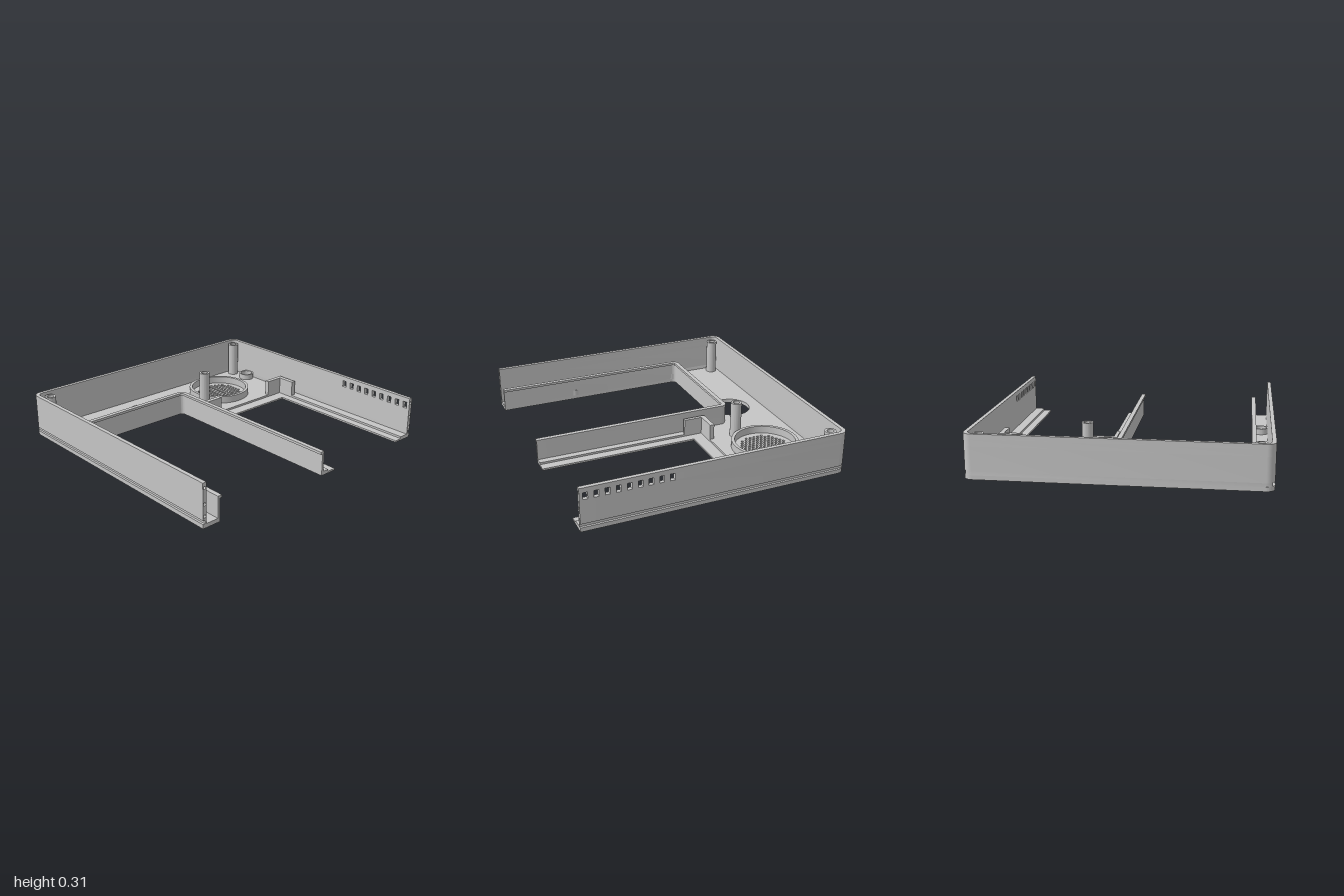
import * as THREE from 'three';
import { toCreasedNormals } from 'three/addons/utils/BufferGeometryUtils.js';

const grey = new THREE.MeshStandardMaterial({ color: 0xc6c6c6 });
grey.name = 'light grey plastic';

// Plan outline from [x, z, cornerRadius] points (plan y is -z)
function outline(points) {
  const shape = new THREE.Shape();
  const n = points.length;
  const v = points.map(([x, z]) => new THREE.Vector2(x, -z));
  points.forEach(([, , r = 0], i) => {
    const p = v[i];
    const toward = (q, d) => p.clone().add(q.clone().sub(p).setLength(d));
    const prev = v[(i + n - 1) % n], next = v[(i + 1) % n];
    const a = r ? toward(prev, r) : p;
    if (i) shape.lineTo(a.x, a.y); else shape.moveTo(a.x, a.y);
    if (r) {
      const c1 = toward(prev, r * 0.448), c2 = toward(next, r * 0.448), b = toward(next, r);
      shape.bezierCurveTo(c1.x, c1.y, c2.x, c2.y, b.x, b.y);
    }
  });
  shape.closePath();
  return shape;
}

const circle = (x, z, r, Kind = THREE.Path) => new Kind().absarc(x, -z, r, 0, Math.PI * 2, false);
const rect = (x0, z0, x1, z1) => outline([[x0, z0], [x1, z0], [x1, z1], [x0, z1]]);

export function createModel() {
  const model = new THREE.Group();
  model.name = 'openTray';

  function add(name, geometry) {
    const mesh = new THREE.Mesh(toCreasedNormals(geometry, 0.6), grey);
    mesh.name = name;
    model.add(mesh);
  }
  // Plan shape raised from y0 to y1
  function slab(name, shape, y0, y1, curveSegments = 12) {
    const g = new THREE.ExtrudeGeometry(shape, { depth: y1 - y0, bevelEnabled: false, curveSegments });
    add(name, g.rotateX(-Math.PI / 2).translate(0, y0, 0));
  }

  const H = 0.306, FLOOR = 0.028, T = 0.028, END = 0.95, WALL_END = 0.93;
  const GROOVE0 = 0.03, GROOVE1 = 0.055, GROOVE_Z = 0.985;
  const OVERHANG = 0.016, BAY_WALL = 0.032;

  // Floor with two open bays, a round opening and a grille
  const floor = outline([
    [-0.95, -1, 0.06], [END, -1], [END, -0.903], [-0.285, -0.903], [-0.285, -0.11], [END, -0.11],
    [END, -0.03 - OVERHANG], [-0.49 - OVERHANG, -0.03 - OVERHANG, 0.03],
    [-0.49 - OVERHANG, 0.85 + OVERHANG, 0.03], [END, 0.85 + OVERHANG], [END, 1], [-0.95, 1, 0.06],
  ]);
  floor.holes.push(circle(-0.68, 0.18, 0.145));
  const pitch = 0.031;
  for (let row = -6; row <= 6; row++) {
    for (let col = -6; col <= 6; col++) {
      const x = (col + (row % 2 ? 0.5 : 0)) * pitch, z = row * pitch * 0.866;
      if (Math.hypot(x, z) < 0.175) floor.holes.push(circle(-0.597 + x, -0.51 + z, 0.01));
    }
  }
  slab('floor', floor, 0, FLOOR, 16);

  // Thin ledge around the back bay
  slab('backBayLedge', outline([
    [END, -0.903], [END, -0.845], [-0.196, -0.845], [-0.196, -0.176], [END, -0.176], [END, -0.11],
    [-0.285, -0.11], [-0.285, -0.903],
  ]), 0, 0.013);

  // Outer wall in layers; backEnd is where the back wall stops
  const wall = (backEnd) => outline([
    [-0.95, -1, 0.06], [backEnd, -1], [backEnd, -1 + T], [-0.95 + T, -1 + T, 0.035],
    [-0.95 + T, 1 - T, 0.035], [WALL_END, 1 - T], [WALL_END, 1], [-0.95, 1, 0.06],
  ]);
  const groovedWall = outline([
    [-0.95, -0.94], [-0.943, -0.968], [-0.93, -GROOVE_Z], [WALL_END, -GROOVE_Z], [WALL_END, -1 + T],
    [-0.95 + T, -1 + T, 0.01], [-0.95 + T, 1 - T, 0.01], [WALL_END, 1 - T],
    [WALL_END, GROOVE_Z], [-0.93, GROOVE_Z], [-0.943, 0.968], [-0.95, 0.94],
  ]);
  const slots = 9, slotPitch = 0.0715, slotWidth = 0.032, slot0 = 0.323, low = 0.225, high = 0.272;
  slab('wallFoot', wall(WALL_END), FLOOR, GROOVE0);
  slab('wallGroove', groovedWall, GROOVE0, GROOVE1);
  slab('wallMain', wall(WALL_END), GROOVE1, low);
  slab('wallSlotBand', wall(slot0), low, high);
  slab('wallRim', wall(WALL_END), high, H);
  // Bars between the vent slots
  for (let i = 0; i < slots; i++) {
    const x = slot0 + slotWidth + i * slotPitch;
    slab('slotBar', rect(x, -1, Math.min(x + slotPitch - slotWidth, WALL_END), -1 + T), low, high);
  }

  // Wall ends with the groove and three small pin holes
  for (const s of [-1, 1]) {
    // drawn as (-z, y), then turned to run along x
    const profile = new THREE.Shape([
      [1 - T, FLOOR], [1, FLOOR], [1, GROOVE0], [GROOVE_Z, GROOVE0], [GROOVE_Z, GROOVE1],
      [1, GROOVE1], [1, H], [1 - T, H],
    ].map(([z, y]) => new THREE.Vector2(-s * z, y)));
    for (const y of [0.08, 0.162, 0.27]) {
      profile.holes.push(new THREE.Path().absarc(-s * 0.986, y, 0.01, 0, Math.PI * 2, false));
    }
    const g = new THREE.ExtrudeGeometry(profile, { depth: END - WALL_END, bevelEnabled: false });
    add('wallEnd', g.rotateY(Math.PI / 2).translate(WALL_END, 0, 0));
  }

  // Wall around the front bay, between two offsets, with a lip over the opening
  const bayWall = (a, b) => outline([
    [END, -0.03 - a], [-0.49 - a, -0.03 - a, 0.014 + a], [-0.49 - a, 0.85 + a, 0.014 + a], [END, 0.85 + a],
    [END, 0.85 + b], [-0.49 - b, 0.85 + b, 0.014 + b], [-0.49 - b, -0.03 - b, 0.014 + b], [END, -0.03 - b],
  ]);
  slab('frontBayWall', bayWall(OVERHANG, BAY_WALL), FLOOR, 0.16);
  slab('frontBayLip', bayWall(0, BAY_WALL), 0.16, 0.178);

  // Corner brackets of the back bay
  slab('backBracket', outline([
    [-0.318, -0.938], [-0.15, -0.938], [-0.15, -0.903], [-0.285, -0.903], [-0.285, -0.77], [-0.318, -0.77],
  ]), 0.013, 0.142);
  slab('middleBracket', outline([
    [-0.318, -0.255], [-0.285, -0.255], [-0.285, -0.11], [-0.15, -0.11], [-0.15, -0.085], [-0.318, -0.085],
  ]), 0.013, 0.142);

  // Hollow round parts: grille collar, screw posts, foot bosses
  const tube = (name, x, z, outer, inner, top) => {
    const ring = circle(x, z, outer, THREE.Shape);
    ring.holes.push(circle(x, z, inner));
    slab(name, ring, FLOOR, top, 40);
  };
  tube('grilleCollar', -0.597, -0.51, 0.24, 0.217, 0.083);
  for (const [x, z] of [[-0.862, -0.912], [-0.862, 0.907], [-0.488, -0.26]]) {
    tube('screwPost', x, z, 0.04, 0.024, 0.291);
  }
  for (const [x, z] of [[-0.702, -0.92], [-0.382, -0.92], [-0.488, 0.92], [0.368, 0.92]]) {
    tube('footBoss', x, z, 0.058, 0.045, 0.072);
  }
  return model;
}
